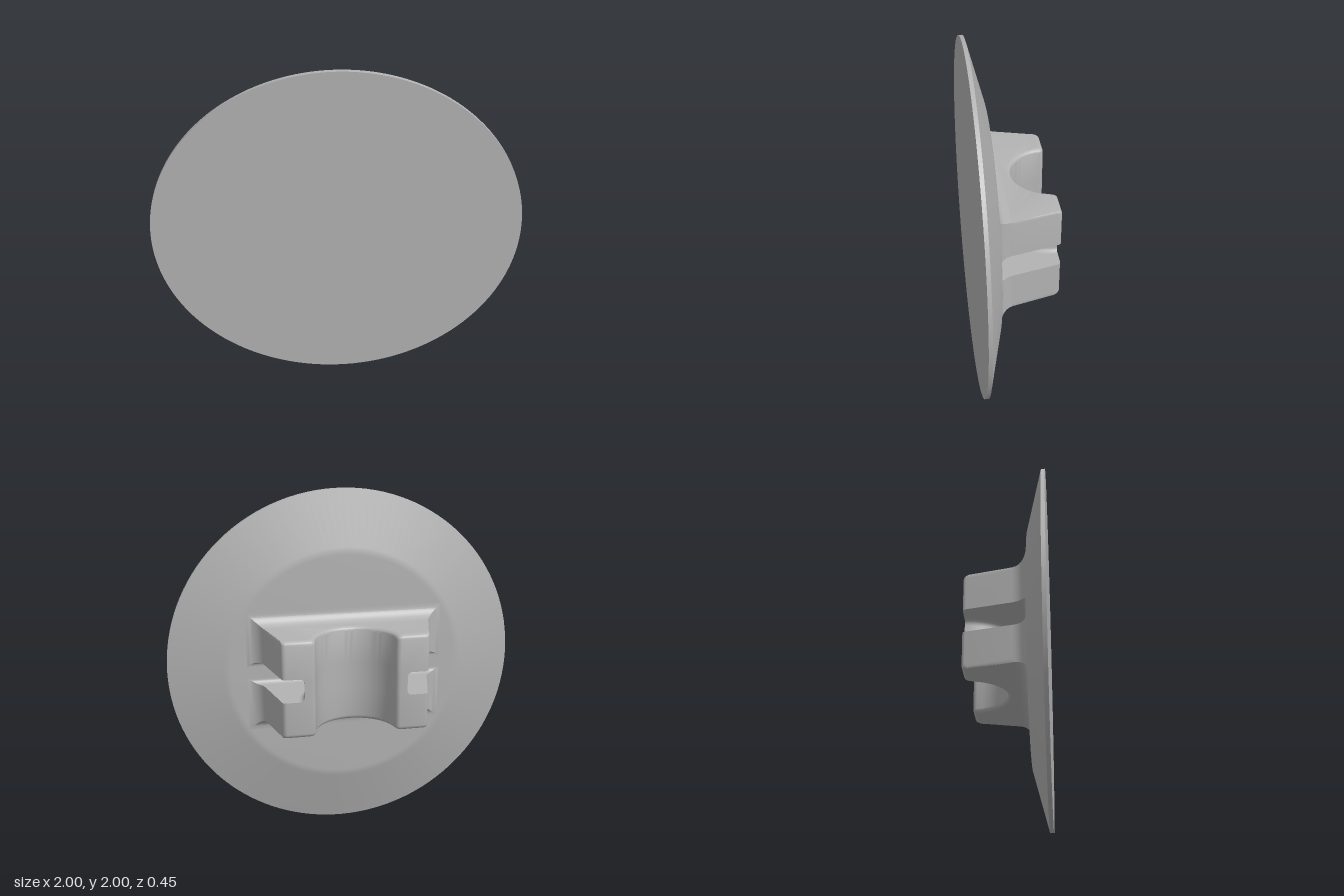
import * as THREE from 'three';
import { toCreasedNormals } from 'three/addons/utils/BufferGeometryUtils.js';

const CY = 1;                 // height of the disc centre
const FLOOR = 0.117;          // z of the disc's raised back face
const BACK = 0.225;           // half depth of the whole part
const HALF = 0.275, SLOT = 0.065;   // clamp half height, slot half height
const SADDLE = 0.22, SADDLE_W = 0.23; // saddle radius and centre (w = -z)

// Skin between closed rings; optional flat caps triangulated in (x, -z)
function loft(rings, caps) {
  const pos = [];
  const put = (...pts) => pts.forEach(p => pos.push(p.x, p.y, p.z));
  const n = rings[0].length;
  for (let i = 0; i < rings.length - 1; i++) {
    for (let j = 0; j < n; j++) {
      const k = (j + 1) % n;
      const a = rings[i][j], b = rings[i][k], c = rings[i + 1][k], d = rings[i + 1][j];
      put(a, b, c, a, c, d);
    }
  }
  if (caps) {
    const cap = (ring, up) => {
      const flat = ring.map(p => new THREE.Vector2(p.x, -p.z));
      for (const [a, b, c] of THREE.ShapeUtils.triangulateShape(flat, [])) {
        if (up) put(ring[a], ring[b], ring[c]);
        else put(ring[a], ring[c], ring[b]);
      }
    };
    cap(rings[0], false);
    cap(rings[rings.length - 1], true);
  }
  const geo = new THREE.BufferGeometry();
  geo.setAttribute('position', new THREE.Float32BufferAttribute(pos, 3));
  return toCreasedNormals(geo, 0.5);
}

// Points on an arc in the (x, w) plane
function arc(cx, cw, r, from, to, steps) {
  return Array.from({ length: steps + 1 }, (_, i) => {
    const a = from + (to - from) * i / steps;
    return [cx + r * Math.cos(a), cw + r * Math.sin(a)];
  });
}

// Mirror a right-hand half outline and lift it to height y
function ring(half, y, shareMiddle) {
  const left = (shareMiddle ? half.slice(0, -1) : half).map(([x, w]) => [-x, w]).reverse();
  return [...half, ...left].map(([x, w]) => new THREE.Vector3(x, y, -w));
}

// Sloping outer flank of the clamp
const flank = w => 0.4 + (BACK - w) * 0.25;

// Clamp outline: s pulls the back edge and the saddle inward for rounding
function clampRing(y, s) {
  const H = Math.PI / 2;
  return ring([
    [flank(-FLOOR - 0.008), -FLOOR - 0.008],
    ...arc(0.38, BACK - 0.025 - s, 0.025, 0, H, 4),
    ...arc(SADDLE + 0.025 + s, BACK - 0.025 - s, 0.025, H, 2 * H, 4),
    ...arc(0, SADDLE_W, SADDLE + s, -0.2, -H, 20),
  ], y, true);
}

// Curved web across the slot; its outside flares into the slot walls
function webRing(y, flare) {
  const R = 0.283 + flare, H = Math.PI / 2;
  return ring([
    ...arc(0, SADDLE_W, R, -H, -0.02, 20).slice(0),
    ...arc(SADDLE + 0.025, BACK - 0.025, 0.025, H, 2 * H, 4),
    ...arc(0, SADDLE_W, SADDLE, -0.2, -H, 20),
  ].map(([x, w]) => [Math.max(x, 0.00001), w]), y, false);
}

// Concave fillet offset at a height d above the floor
function fillet(r, d) {
  return d >= r ? 0 : r - Math.sqrt(r * r - (r - d) ** 2);
}

export function createModel() {
  const model = new THREE.Group();
  model.name = 'discWithSaddleClamp';
  const grey = new THREE.MeshStandardMaterial({ color: 0xb3b3b3 });
  grey.name = 'plain grey';
  const add = (name, geo) => {
    const mesh = new THREE.Mesh(geo, grey);
    mesh.name = name;
    model.add(mesh);
  };

  // Round base plate with a shallow cone on its back
  const profile = [[0, FLOOR], [0.65, FLOOR], [0.67, FLOOR + 0.001], [0.69, FLOOR + 0.006],
    [1, 0.204], [1, BACK], [0, BACK]].map(p => new THREE.Vector2(...p));
  const disc = new THREE.LatheGeometry(profile, 128).rotateX(Math.PI / 2).translate(0, CY, 0);
  add('basePlate', toCreasedNormals(disc, 0.5));

  for (const side of [1, -1]) {
    const label = side > 0 ? 'upper' : 'lower';

    // Clamp half with a rounded outer edge
    const r = 0.025;
    const rings = [clampRing(CY + side * SLOT, 0)];
    for (let i = 0; i <= 5; i++) {
      const a = i / 5 * Math.PI / 2;
      rings.push(clampRing(CY + side * (HALF - r + r * Math.sin(a)), r * (1 - Math.cos(a))));
    }
    if (side < 0) rings.reverse();
    add(label + 'ClampHalf', loft(rings, true));

    // Fillet skirt around the foot, mitred at the corners
    const skirt = [];
    for (let i = 0; i <= 8; i++) {
      const d = 0.072 * (1 - Math.cos(i / 8 * Math.PI / 2));
      const z = FLOOR - d;
      const x = flank(-z) + fillet(0.072, d);
      const outer = CY + side * (HALF + fillet(0.072, d));
      const inner = CY + side * (SLOT - fillet(0.028, d));
      const top = Math.max(outer, inner), low = Math.min(outer, inner);
      skirt.push([[x, top], [x, low], [-x, low], [-x, top]]
        .map(([px, py]) => new THREE.Vector3(px, py, z)));
    }
    add(label + 'FootFillet', loft(skirt, false));
  }

  // Saddle web between the clamp halves
  const web = [];
  for (let i = -6; i <= 6; i++) {
    const t = Math.sign(i) * Math.sin(Math.abs(i) / 6 * Math.PI / 2);
    web.push(webRing(CY + SLOT * t, fillet(0.025, SLOT * (1 - Math.abs(t)))));
  }
  add('saddleWeb', loft(web, false));
  return model;
}
